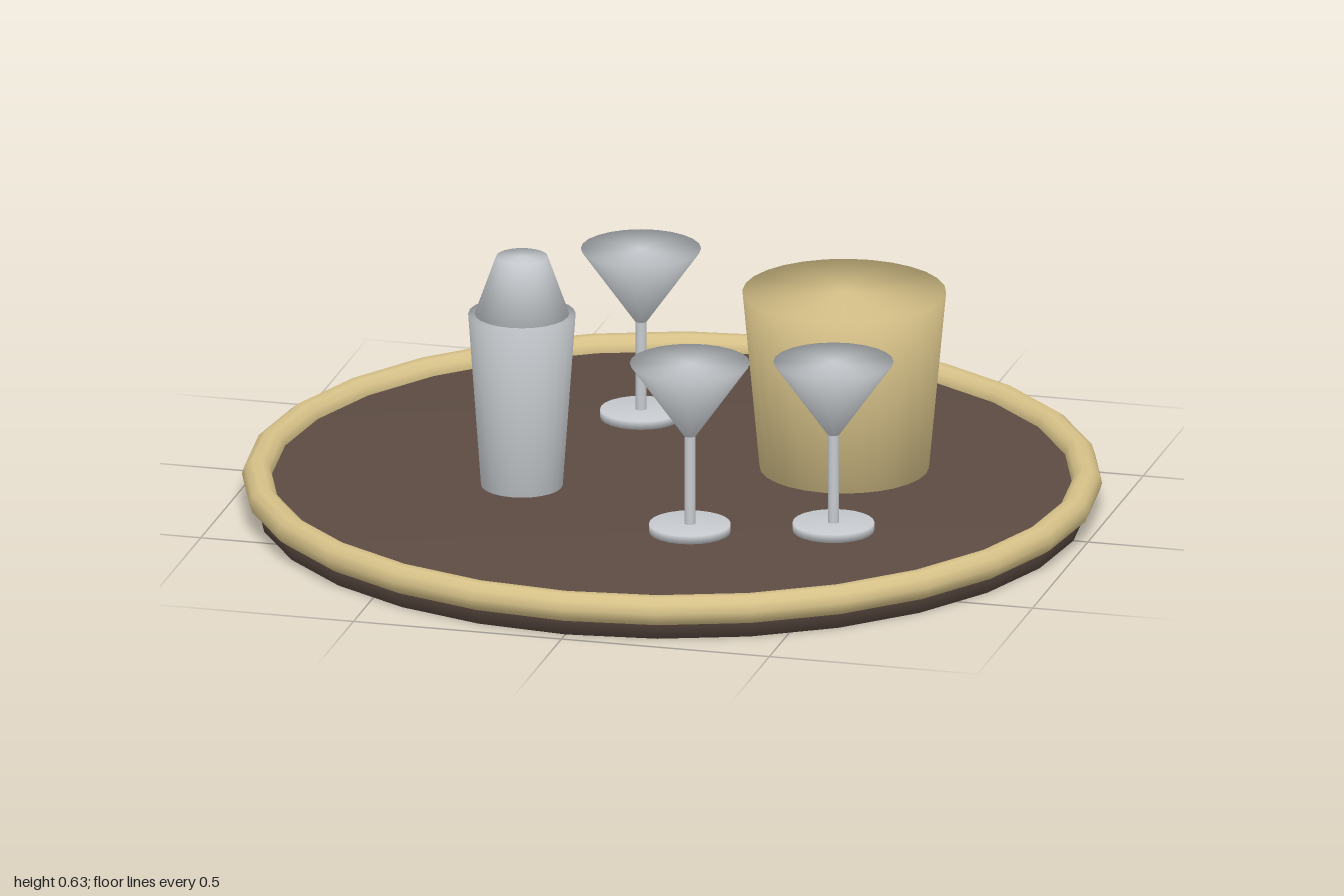
import * as THREE from 'three';

const material = (name, color) => {
  const m = new THREE.MeshStandardMaterial({ color });
  m.name = name;
  return m;
};

export function createModel() {
  const gold = material('gold', 0xd6c188);
  const brown = material('dark brown', 0x5c4b42);
  const silver = material('silver', 0xc6cace);

  const FLOOR = 0.07;
  const model = new THREE.Group();
  model.name = 'servingTray';

  // Solid of revolution from [radius, height] pairs, listed bottom to top
  const turned = (name, points, segments, mat) => {
    const profile = points.map(([r, y]) => new THREE.Vector2(r, y));
    const mesh = new THREE.Mesh(new THREE.LatheGeometry(profile, segments), mat);
    mesh.name = name;
    return mesh;
  };

  // Round tray with a rolled rim
  model.add(turned('trayBase', [[0, 0], [0.965, 0], [0.965, FLOOR], [0, FLOOR]], 28, brown));
  const rim = new THREE.Mesh(new THREE.TorusGeometry(0.965, 0.035, 10, 28), gold);
  rim.name = 'trayRim';
  rim.rotation.x = Math.PI / 2;
  rim.position.y = 0.07;
  model.add(rim);

  // Ice bucket
  const bucket = turned('iceBucket', [[0, 0], [0.197, 0], [0.237, 0.43], [0, 0.43]], 28, gold);
  bucket.position.set(0.365, FLOOR, -0.185);
  model.add(bucket);

  // Cocktail shaker: tapered body and conical lid
  const shaker = new THREE.Group();
  shaker.name = 'shaker';
  shaker.add(
    turned('shakerBody', [[0, 0], [0.095, 0], [0.125, 0.42], [0, 0.42]], 24, silver),
    turned('shakerLid', [[0, 0.415], [0.112, 0.415], [0.06, 0.56], [0, 0.56]], 24, silver)
  );
  shaker.position.set(-0.325, FLOOR, 0.135);
  model.add(shaker);

  // Three martini glasses: foot, stem and cup
  [[0.14, 0.365], [0.46, 0.27], [-0.185, -0.415]].forEach(([x, z], i) => {
    const glass = new THREE.Group();
    glass.name = `glass${i + 1}`;
    glass.add(
      turned('foot', [[0, 0], [0.095, 0], [0.095, 0.02], [0, 0.02]], 24, silver),
      turned('stem', [[0.013, 0.01], [0.013, 0.25]], 12, silver),
      turned('cup', [[0, 0.235], [0.014, 0.235], [0.14, 0.413], [0, 0.413]], 24, silver)
    );
    glass.position.set(x, FLOOR, z);
    model.add(glass);
  });

  return model;
}
